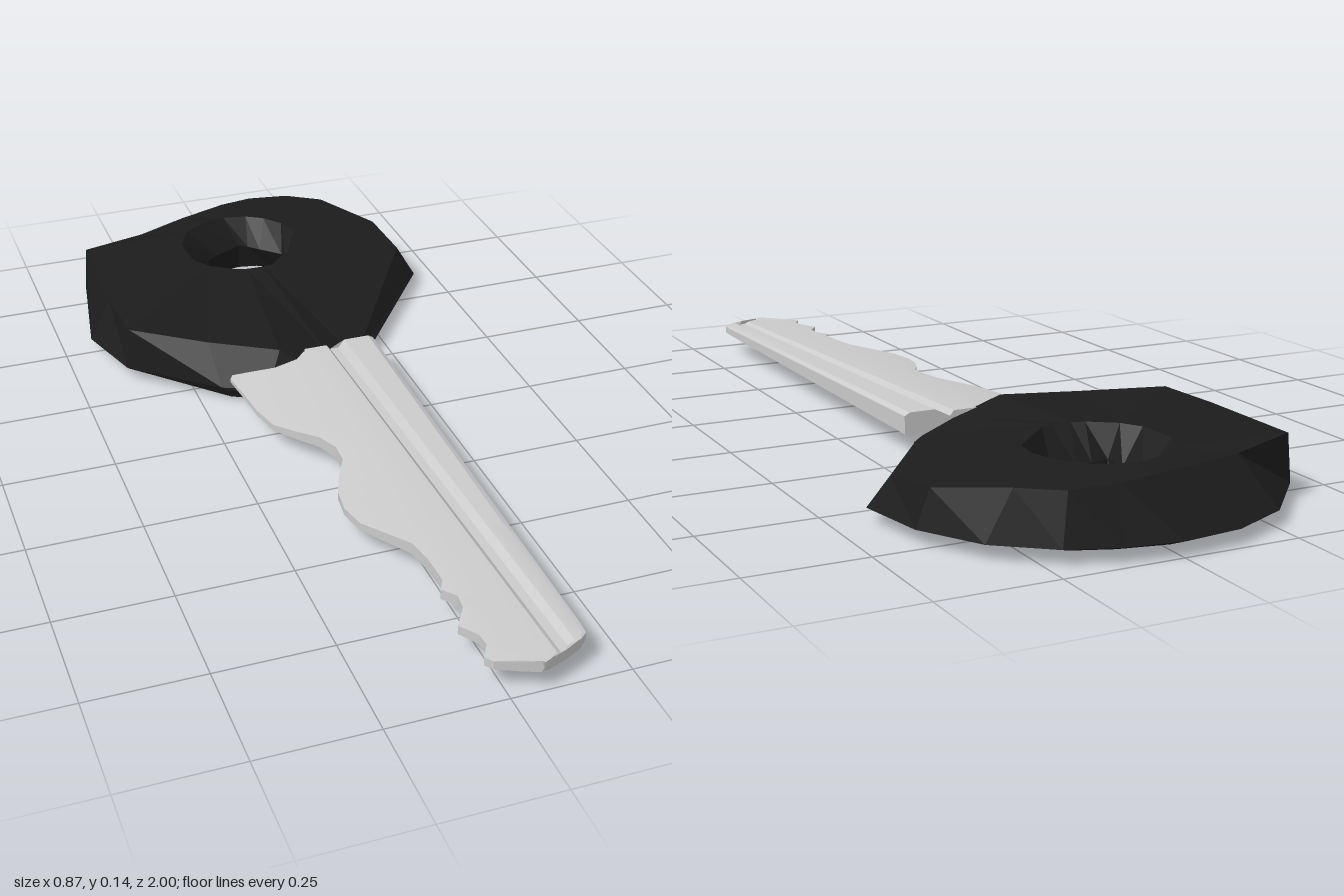
import * as THREE from 'three';
import { toCreasedNormals } from 'three/addons/utils/BufferGeometryUtils.js';

// Skins a list of equally long closed rings of [x, y, z] points.
function skin(rings, loop = false) {
  const pos = [], n = rings[0].length;
  const last = loop ? rings.length : rings.length - 1;
  for (let r = 0; r < last; r++) {
    const p = rings[r], q = rings[(r + 1) % rings.length];
    for (let i = 0; i < n; i++) {
      const j = (i + 1) % n;
      pos.push(...p[i], ...p[j], ...q[i], ...p[j], ...q[j], ...q[i]);
    }
  }
  const g = new THREE.BufferGeometry();
  g.setAttribute('position', new THREE.Float32BufferAttribute(pos, 3));
  g.computeVertexNormals();
  return g;
}

// Faceted grip: a ring of facets around an irregular key-ring hole
function createHead() {
  const edge = [ // widest outline: x, z
    [0, -1], [0.12, -0.98], [0.22, -0.945], [0.33, -0.86], [0.405, -0.73], [0.432, -0.57],
    [0.145, -0.185], [0.06, -0.13], [-0.1, -0.14], [-0.2, -0.185], [-0.385, -0.345],
    [-0.435, -0.51], [-0.385, -0.79], [-0.26, -0.925], [-0.13, -0.985],
  ];
  const top = [ // upper shoulder: x, z, y
    [0.02, -0.92, 0.138], [0.1, -0.935, 0.137], [0.2, -0.925, 0.134], [0.28, -0.87, 0.135],
    [0.38, -0.74, 0.113], [0.395, -0.6, 0.1], [0.135, -0.195, 0.045], [0.06, -0.19, 0.075],
    [-0.06, -0.18, 0.11], [-0.21, -0.255, 0.118], [-0.375, -0.35, 0.132], [-0.385, -0.51, 0.132],
    [-0.378, -0.785, 0.135], [-0.22, -0.84, 0.127], [-0.1, -0.885, 0.133],
  ];
  const bottom = [ // lower shoulder: x, z, y
    [0, -0.95, 0.012], [0.1, -0.93, 0.012], [0.18, -0.9, 0.012], [0.27, -0.8, 0.01],
    [0.31, -0.7, 0.008], [0.31, -0.56, 0.01], [0.13, -0.14, 0.014], [0.05, -0.13, 0.01],
    [-0.1, -0.135, 0.01], [-0.18, -0.18, 0.008], [-0.27, -0.35, 0.006], [-0.31, -0.51, 0.008],
    [-0.29, -0.76, 0.008], [-0.21, -0.87, 0.01], [-0.1, -0.93, 0.012],
  ];
  const hole = [
    [0.03, -0.805], [0.05, -0.79], [0.075, -0.765], [0.12, -0.72], [0.118, -0.68], [0.112, -0.635],
    [0.06, -0.622], [0.03, -0.617], [0.0, -0.612], [-0.04, -0.605], [-0.08, -0.6], [-0.077, -0.66],
    [-0.07, -0.745], [-0.04, -0.77], [-0.005, -0.785],
  ];
  // Rim points lie in the direction of each outline point
  const rim = (cx, r, y) => edge.map(([x, z]) => {
    const a = Math.atan2(z + 0.69, x);
    return [cx + r * Math.cos(a), y, -0.69 + r * Math.sin(a)];
  });
  const flat = list => list.map(([x, z, y = 0.033]) => [x, y, z]);
  const waist = hole.map(([x, z]) => [x, 0.07, z]);
  const geo = skin([
    waist, rim(0, 0.15, 0.139), flat(top), flat(edge), flat(bottom), rim(0.03, 0.125, 0.002),
  ], true);
  const mat = new THREE.MeshStandardMaterial({ color: 0x1c1c1c, flatShading: true });
  const head = new THREE.Mesh(geo, mat);
  head.name = 'head';
  return head;
}

// Blade: grooved section, tapering toward the tip, with a cut left edge
function createBlade() {
  const cuts = [ // z, x of the cut edge
    [-0.195, -0.17], [-0.18, -0.18], [-0.1, -0.172], [-0.02, -0.165], [0.05, -0.15], [0.1, -0.115],
    [0.15, -0.075], [0.2, -0.057], [0.25, -0.058], [0.3, -0.085], [0.35, -0.105], [0.41, -0.112],
    [0.47, -0.1], [0.53, -0.062], [0.58, -0.03], [0.64, -0.02], [0.71, -0.018], [0.735, -0.032],
    [0.765, -0.01], [0.8, -0.013], [0.845, -0.042], [0.885, -0.016], [0.915, -0.014],
    [0.945, -0.032], [0.962, -0.02], [0.98, 0.018], [0.998, 0.06],
  ];
  const section = ([z, left]) => {
    const t = (z + 0.2) / 1.2;
    const right = z < 0.94 ? 0.177 : 0.177 - 0.107 * Math.pow((z - 0.94) / 0.058, 1.6);
    const g = 0.07 + 0.04 * t;                          // groove drifts sideways
    const up = y => 0.046 + (y - 0.046) * (1 - 0.55 * t);
    const x = v => Math.min(Math.max(v, left), right);
    const ridge = Math.max(left + 0.02, 0);
    return [
      [left, 0.046], [x(0.06), 0.046], [x(0.075), up(0.06)], [x(0.125), up(0.06)],
      [x(0.14), 0.046], [x(0.165), 0.046], [right, 0.052], [right, up(0.092)],
      [x(0.165), up(0.099)], [x(g + 0.035), up(0.099)], [x(g + 0.02), up(0.08)],
      [x(g), up(0.08)], [x(g - 0.01), up(0.092)], [x(ridge), up(0.092)],
      [left, up(0.056 + (left + 0.18) * 0.2)],
    ].map(([px, py]) => [px, py, z]);
  };
  const rings = cuts.map(section);
  // Close both ends by collapsing a ring to a point
  const cap = (x, y, z) => rings[0].map(() => [x, y, z]);
  const geo = skin([cap(0.04, 0.065, -0.195), ...rings, cap(0.065, 0.056, 1)]);
  const mat = new THREE.MeshStandardMaterial({ color: 0xcccccc });
  const blade = new THREE.Mesh(toCreasedNormals(geo, 0.35), mat);
  blade.name = 'blade';
  return blade;
}

export function createModel() {
  const key = new THREE.Group();
  key.name = 'key';
  key.add(createHead(), createBlade());
  return key;
}
